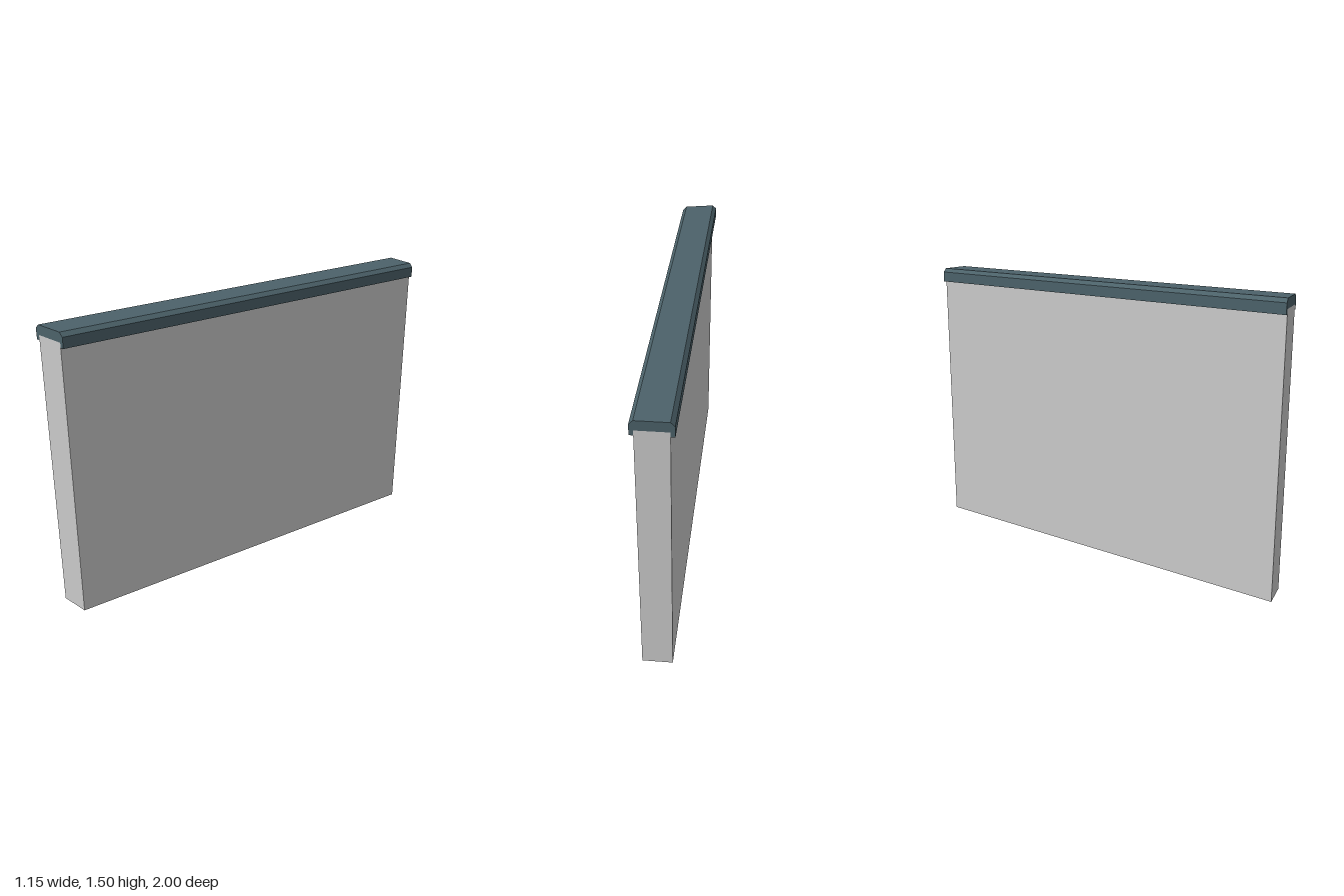
import * as THREE from 'three';

// End lines of the slanted footprint as [x, z]: left edge to right edge
const FRONT = [[-0.575, 0.953], [-0.383, 1.0]];
const BACK = [[0.4, -1.0], [0.573, -0.917]];

// Extrudes a profile (fraction across the width, height) between the two oblique ends
function bar(name, profile, color) {
  const shape = new THREE.Shape(profile.map(([t, y]) => new THREE.Vector2(t, y)));
  const geometry = new THREE.ExtrudeGeometry(shape, { depth: 1, bevelEnabled: false });
  const pos = geometry.attributes.position;
  const across = (line, t, k) => THREE.MathUtils.lerp(line[0][k], line[1][k], t);
  for (let i = 0; i < pos.count; i++) {
    const t = pos.getX(i), s = pos.getZ(i);
    const [x, z] = [0, 1].map(k =>
      THREE.MathUtils.lerp(across(BACK, t, k), across(FRONT, t, k), s));
    pos.setXYZ(i, x, pos.getY(i), z);
  }
  geometry.computeVertexNormals();
  const mesh = new THREE.Mesh(geometry, new THREE.MeshStandardMaterial({ color }));
  mesh.name = name;
  return mesh;
}

export function createModel() {
  const group = new THREE.Group();
  group.name = 'cappedWall';

  // Plain wall panel, slightly narrower than its coping
  const inset = 0.1;
  group.add(bar('wall', [
    [inset, 0], [1 - inset, 0], [1 - inset, 1.45], [inset, 1.45],
  ], 0xc8ccc8));

  // Chamfered coping with lips that hang over both long sides
  const half = [[inset, 1.45], [inset, 1.425], [0, 1.425], [0, 1.48], [inset, 1.5]];
  const mirrored = half.map(([t, y]) => [1 - t, y]);
  group.add(bar('coping', [...mirrored, ...half.reverse()], 0x4c626a));

  return group;
}
